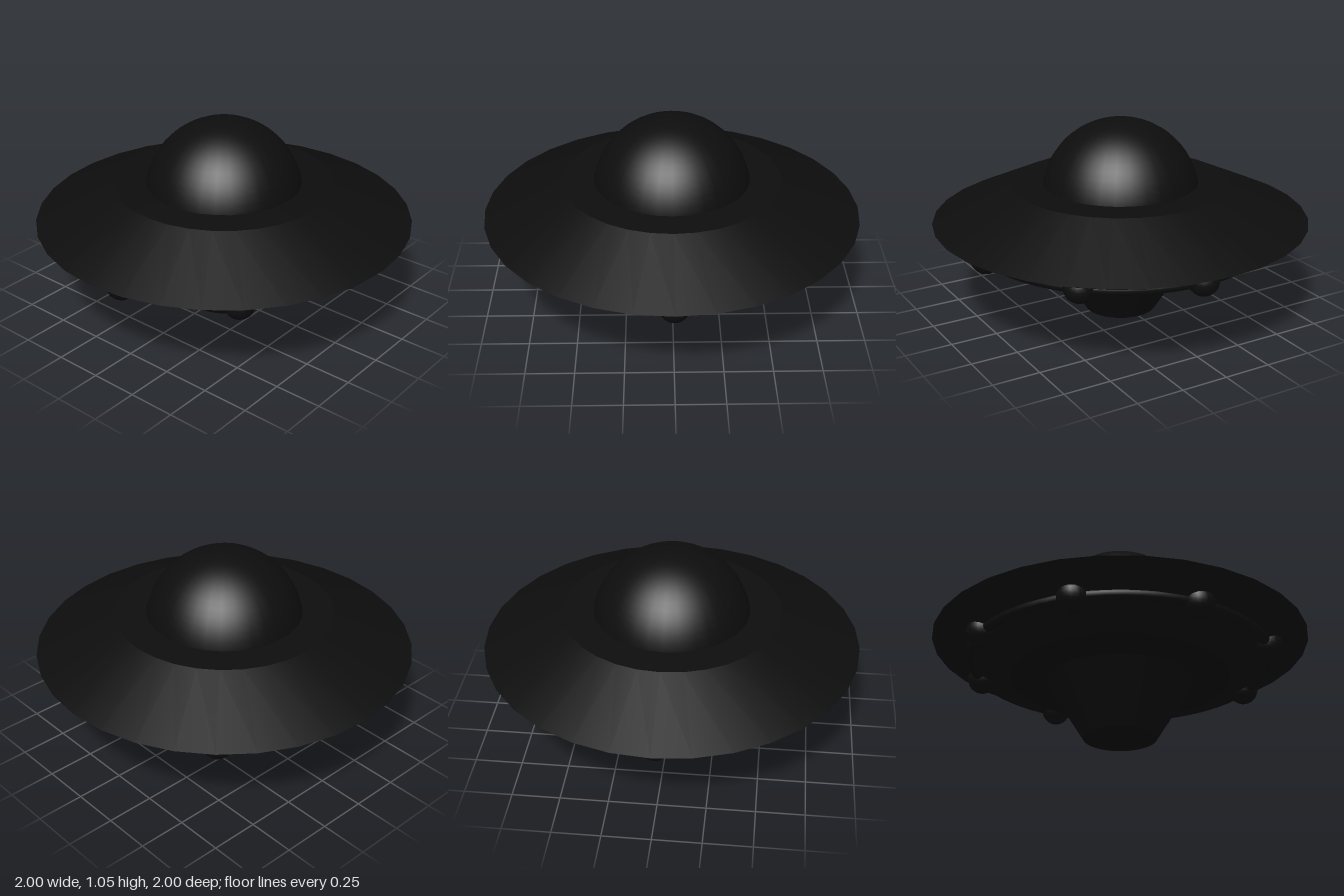
import * as THREE from 'three';
import { toCreasedNormals } from 'three/addons/utils/BufferGeometryUtils.js';

const SEGMENTS = 32;
const LIGHT_COUNT = 8;
const RING_RADIUS = 0.79;
const RING_Y = 0.43;

export function createModel() {
  const model = new THREE.Group();
  model.name = 'flyingSaucer';
  const dark = new THREE.MeshStandardMaterial({ color: 0x0d0d0d });

  const add = (name, geometry, x = 0, y = 0, z = 0, parent = model) => {
    const mesh = new THREE.Mesh(geometry, dark);
    mesh.name = name;
    mesh.position.set(x, y, z);
    parent.add(mesh);
    return mesh;
  };

  // Hull: flat top and bottom with a sharp outer rim
  const profile = [[0, 0.33], [0.58, 0.33], [1, 0.52], [0.58, 0.71], [0, 0.71]]
    .map(([r, y]) => new THREE.Vector2(r, y));
  add('hull', toCreasedNormals(new THREE.LatheGeometry(profile, SEGMENTS), 0.3));

  // Cockpit dome, its lower edge sunk into the hull
  add('dome', new THREE.SphereGeometry(0.42, SEGMENTS, 16, 0, Math.PI * 2, 0, Math.PI / 2), 0, 0.632, 0);

  // Tapered beam emitter hanging just below the hull
  add('beamCone', new THREE.CylinderGeometry(0.385, 0.193, 0.31, SEGMENTS), 0, 0.155, 0);

  // Thin ring under the rim that carries the lights
  const ring = add('lightRing', new THREE.TorusGeometry(RING_RADIUS, 0.03, 10, 64), 0, RING_Y, 0);
  ring.rotation.x = Math.PI / 2;

  // Round lights spaced evenly along the ring
  const lights = new THREE.Group();
  lights.name = 'lights';
  model.add(lights);
  const bulb = new THREE.SphereGeometry(0.08, 20, 14);
  for (let i = 0; i < LIGHT_COUNT; i++) {
    const a = (i / LIGHT_COUNT) * Math.PI * 2;
    add('light', bulb, Math.cos(a) * RING_RADIUS, RING_Y, Math.sin(a) * RING_RADIUS, lights);
  }

  return model;
}
